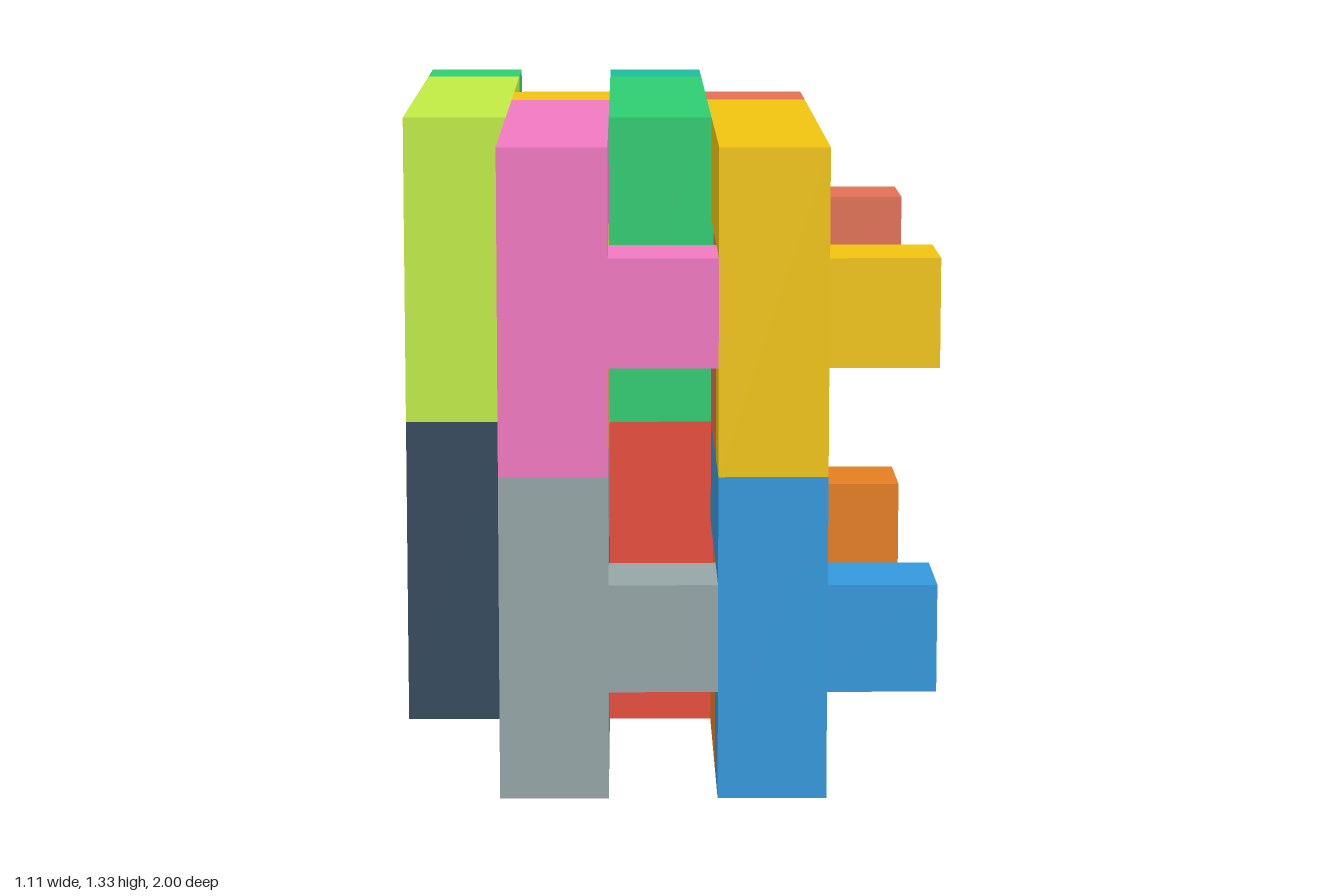
import * as THREE from 'three';
import { mergeGeometries } from 'three/addons/utils/BufferGeometryUtils.js';

const UNIT = 2 / 9; // edge of one cube

// Hook-shaped block, profile in cube units, plus a one-cube knob on its side.
// Centred on the 6 x 3 ring that two interlocking hooks form.
function hookGeometry() {
  const outline = [[0, 0], [5, 0], [5, 2], [4, 2], [4, 1], [1, 1], [1, 3], [0, 3]];
  const shape = new THREE.Shape(outline.map(([x, y]) => new THREE.Vector2(x, y)));
  const body = new THREE.ExtrudeGeometry(shape, { depth: 1, bevelEnabled: false }).toNonIndexed?.() ;
  const hook = body ?? new THREE.ExtrudeGeometry(shape, { depth: 1, bevelEnabled: false });
  const knob = new THREE.BoxGeometry(1, 1, 1).toNonIndexed().translate(0.5, 1.5, -0.5);
  return mergeGeometries([hook, knob]).translate(-3, -1.5, 0);
}

export function createModel() {
  const model = new THREE.Group();
  model.name = 'interlockingBlocks';

  const lowerHook = hookGeometry();
  const upperHook = lowerHook.clone().rotateZ(Math.PI);
  // turn the profile to run along z, with the knob towards +x
  for (const g of [lowerHook, upperHook]) g.rotateY(-Math.PI / 2).scale(UNIT, UNIT, UNIT);

  // per layer: rings from -x to +x, each [lower hook colour, upper hook colour]
  const layers = [
    { name: 'bottom', rings: [[0xe74c3c, 0x34495e], [0x3498db, 0x95a5a6], [0x9b59b6, 0xe74c3c], [0xe67e22, 0x3498db]] },
    { name: 'top', rings: [[0x2ecc71, 0xc0eb45], [0xf1c40f, 0xf078c0], [0x1abc9c, 0x2ecc71], [0xe17055, 0xf1c40f]] },
  ];

  layers.forEach(({ name, rings }, layer) => {
    rings.forEach((colors, i) => {
      const ring = new THREE.Group();
      ring.name = `${name}Ring${i + 1}`;
      // alternate rings are staggered back and forward
      ring.position.set((i - 1.5) * UNIT, (1.5 + 3 * layer) * UNIT, (i % 2 ? 1.5 : -1.5) * UNIT);
      [lowerHook, upperHook].forEach((geometry, k) => {
        const mesh = new THREE.Mesh(geometry, new THREE.MeshStandardMaterial({ color: colors[k] }));
        mesh.name = k ? 'upperHook' : 'lowerHook';
        ring.add(mesh);
      });
      model.add(ring);
    });
  });
  return model;
}
